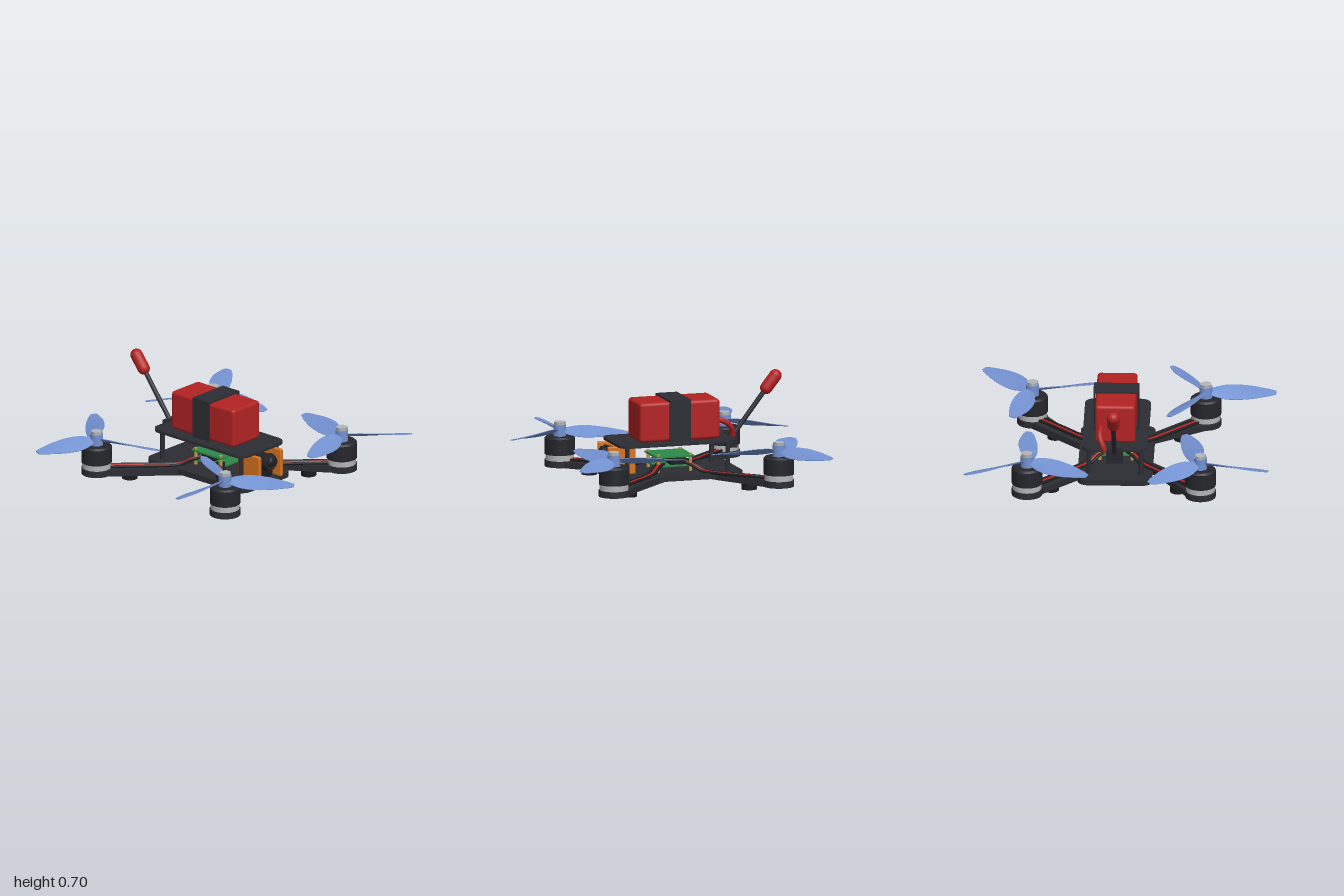
import * as THREE from 'three';
import { RoundedBoxGeometry } from 'three/addons/geometries/RoundedBoxGeometry.js';

const mat = (name, color) => {
  const m = new THREE.MeshStandardMaterial({ color });
  m.name = name;
  return m;
};
const M = {
  carbon: mat('carbon plate', 0x2c2d34),
  black: mat('black rubber', 0x1c1c20),
  motor: mat('motor charcoal', 0x25262c),
  red: mat('red', 0xb32222),
  blue: mat('propeller blue', 0x7492d2),
  silver: mat('silver', 0xb4b6b8),
  orange: mat('orange', 0xd9731f),
  green: mat('board green', 0x2b8a48),
  gold: mat('brass', 0xc09a48),
};

const CX = 0.02, CZ = -0.035, MOTOR = 0.565;
const V = (x, y, z) => new THREE.Vector3(x, y, z);

function add(parent, name, geo, material, x = 0, y = 0, z = 0) {
  const m = new THREE.Mesh(geo, material);
  m.name = name;
  m.position.set(x, y, z);
  parent.add(m);
  return m;
}
const box = (w, h, d) => new THREE.BoxGeometry(w, h, d);
const cyl = (r, h, n = 28, r2 = r) => new THREE.CylinderGeometry(r, r2, h, n);
const tube = (pts, r) => new THREE.TubeGeometry(new THREE.CatmullRomCurve3(pts), 20, r, 8);

// Horizontal rounded plate, bottom face at y = 0
function plate(w, d, r, h) {
  const s = new THREE.Shape(), a = w / 2, b = d / 2, q = Math.PI / 2;
  s.absarc(a - r, b - r, r, 0, q);
  s.absarc(r - a, b - r, r, q, 2 * q);
  s.absarc(r - a, r - b, r, 2 * q, 3 * q);
  s.absarc(a - r, r - b, r, 3 * q, 4 * q);
  s.closePath();
  return new THREE.ExtrudeGeometry(s, { depth: h, bevelEnabled: false, curveSegments: 10 }).rotateX(-q);
}

// Arm outline along +x: straight bar ending in a round motor pad
function armGeometry(len) {
  const s = new THREE.Shape(), hw = 0.073, r = 0.1, a = Math.asin(hw / r);
  s.moveTo(0, -hw);
  s.absarc(len, 0, r, -Math.PI + a, Math.PI - a);
  s.lineTo(0, hw);
  s.closePath();
  return new THREE.ExtrudeGeometry(s, { depth: 0.042, bevelEnabled: false, curveSegments: 28 }).rotateX(-Math.PI / 2);
}

// Twisted blade along +x, lens-shaped in section
function bladeGeometry(dir) {
  const widths = [0.024, 0.042, 0.056, 0.064, 0.067, 0.066, 0.063, 0.057, 0.047, 0.037, 0.02];
  const g = new THREE.BoxGeometry(1, 1, 2, 10, 1, 6), p = g.attributes.position;
  for (let i = 0; i < p.count; i++) {
    const t = p.getX(i) + 0.5, k = p.getZ(i);
    const z = k * widths[Math.round(t * 10)];
    const y = p.getY(i) * (0.003 + 0.011 * (1 - k * k) * (1 - 0.6 * t));
    const a = dir * (0.58 - 0.38 * t);
    p.setXYZ(i, 0.025 + 0.433 * t, y * Math.cos(a) - z * Math.sin(a), y * Math.sin(a) + z * Math.cos(a));
  }
  g.computeVertexNormals();
  return g;
}

// One arm with pad, wires, foot, motor and propeller
function corner(root, sx, sz, firstAngle, dir) {
  const arm = new THREE.Group();
  arm.name = 'arm';
  arm.position.set(CX, 0, CZ);
  arm.rotation.y = Math.atan2(-sz, sx);
  root.add(arm);
  const len = MOTOR * Math.SQRT2;
  add(arm, 'armBar', armGeometry(len), M.carbon, 0, 0.038, 0);
  for (const o of [-1, 0, 1]) {
    const z = o * 0.022;
    add(arm, 'motorWire', tube([V(0.12, 0.14, z), V(0.18, 0.125, z), V(0.25, 0.094, z), V(0.34, 0.087, z),
      V(0.5, 0.087, z), V(len - 0.07, 0.087, z)], 0.0095), o ? M.black : M.red);
  }
  add(arm, 'foot', cyl(0.051, 0.04), M.black, 0.412 * Math.SQRT2, 0.02, 0);

  const motor = new THREE.Group();
  motor.name = 'motor';
  motor.position.set(CX + sx * MOTOR, 0, CZ + sz * MOTOR);
  root.add(motor);
  add(motor, 'stator', cyl(0.094, 0.042), M.silver, 0, 0.098, 0);
  add(motor, 'bell', cyl(0.1, 0.105), M.motor, 0, 0.1715, 0);
  add(motor, 'bellTop', cyl(0.088, 0.012, 28, 0.1), M.motor, 0, 0.23, 0);
  add(motor, 'propHub', cyl(0.042, 0.075), M.blue, 0, 0.273, 0);
  add(motor, 'propNut', cyl(0.039, 0.02, 6), M.silver, 0, 0.32, 0);
  const blade = bladeGeometry(dir);
  for (let i = 0; i < 3; i++) {
    add(motor, 'propBlade', blade, M.blue, 0, 0.272, 0).rotation.y = THREE.MathUtils.degToRad(firstAngle + i * 120);
  }
}

export function createModel() {
  const root = new THREE.Group();
  root.name = 'quadcopter';

  // Frame plates and posts
  add(root, 'bottomPlate', plate(0.486, 0.87, 0.07, 0.038), M.carbon, CX, 0.047, -0.04);
  add(root, 'topPlate', plate(0.43, 0.81, 0.07, 0.017), M.carbon, CX, 0.274, -0.04);
  for (const sx of [-1, 1]) for (const sz of [-1, 1]) {
    add(root, 'post', cyl(0.016, 0.195, 12), M.carbon, CX + sx * 0.17, 0.18, CZ + sz * 0.345);
  }

  // Arms, motors and propellers; diagonal pairs spin the same way
  corner(root, -1, 1, 60, 1);
  corner(root, 1, 1, 75, -1);
  corner(root, -1, -1, 45, -1);
  corner(root, 1, -1, 30, 1);

  // Electronics stack
  for (const y of [0.125, 0.185]) add(root, 'circuitBoard', box(0.25, 0.011, 0.26), M.green, CX, y, CZ);
  for (const sx of [-1, 1]) for (const sz of [-1, 1]) {
    add(root, 'standoff', cyl(0.011, 0.12, 10), M.gold, CX + sx * 0.105, 0.142, CZ + sz * 0.11);
  }
  add(root, 'chip', box(0.2, 0.046, 0.1), M.black, CX + 0.01, 0.152, -0.06);

  // Camera and its side brackets
  for (const sx of [-1, 1]) {
    add(root, 'cameraBracket', new RoundedBoxGeometry(0.027, 0.19, 0.19, 2, 0.01), M.orange, CX + sx * 0.104, 0.18, 0.328);
  }
  add(root, 'cameraBody', new RoundedBoxGeometry(0.14, 0.15, 0.12, 3, 0.02), M.black, CX, 0.165, 0.32);
  const lens = new THREE.Group();
  lens.name = 'cameraLens';
  lens.position.set(CX, 0.2, 0.36);
  lens.rotation.x = Math.PI / 2 - 0.3;
  root.add(lens);
  add(lens, 'lensBarrel', cyl(0.056, 0.08), M.motor, 0, 0.02, 0);
  add(lens, 'lensRing', cyl(0.04, 0.025), M.motor, 0, 0.07, 0);
  add(lens, 'lensGlass', new THREE.SphereGeometry(0.033, 16, 10).scale(1, 0.4, 1), M.black, 0, 0.081, 0);

  // Battery, strap and lead
  add(root, 'battery', new RoundedBoxGeometry(0.262, 0.262, 0.55, 3, 0.022), M.red, CX, 0.421, -0.067);
  add(root, 'strapTop', box(0.296, 0.012, 0.146), M.carbon, CX, 0.557, -0.063);
  for (const sx of [-1, 1]) {
    add(root, 'strapSide', box(0.009, 0.28, 0.146), M.carbon, CX + sx * 0.1435, 0.42, -0.063);
  }
  add(root, 'batteryLead', tube([V(0.11, 0.405, -0.32), V(0.115, 0.4, -0.37), V(0.115, 0.365, -0.42),
    V(0.095, 0.315, -0.445), V(0.08, 0.27, -0.445)], 0.018), M.red);

  // Antenna with its mount
  add(root, 'antennaMount', box(0.112, 0.085, 0.055), M.motor, CX, 0.252, -0.455);
  const base = V(CX, 0.265, -0.457), low = V(CX, 0.582, -0.7), high = V(CX, 0.66, -0.762);
  const up = V(0, 1, 0);
  const along = (name, geo, material, a, b) => {
    const c = a.clone().lerp(b, 0.5);
    add(root, name, geo, material, c.x, c.y, c.z).quaternion.setFromUnitVectors(up, b.clone().sub(a).normalize());
  };
  along('antennaRod', cyl(0.016, base.distanceTo(low), 12), M.carbon, base, low);
  along('antennaTip', new THREE.CapsuleGeometry(0.041, low.distanceTo(high), 8, 20), M.red, low, high);

  return root;
}
